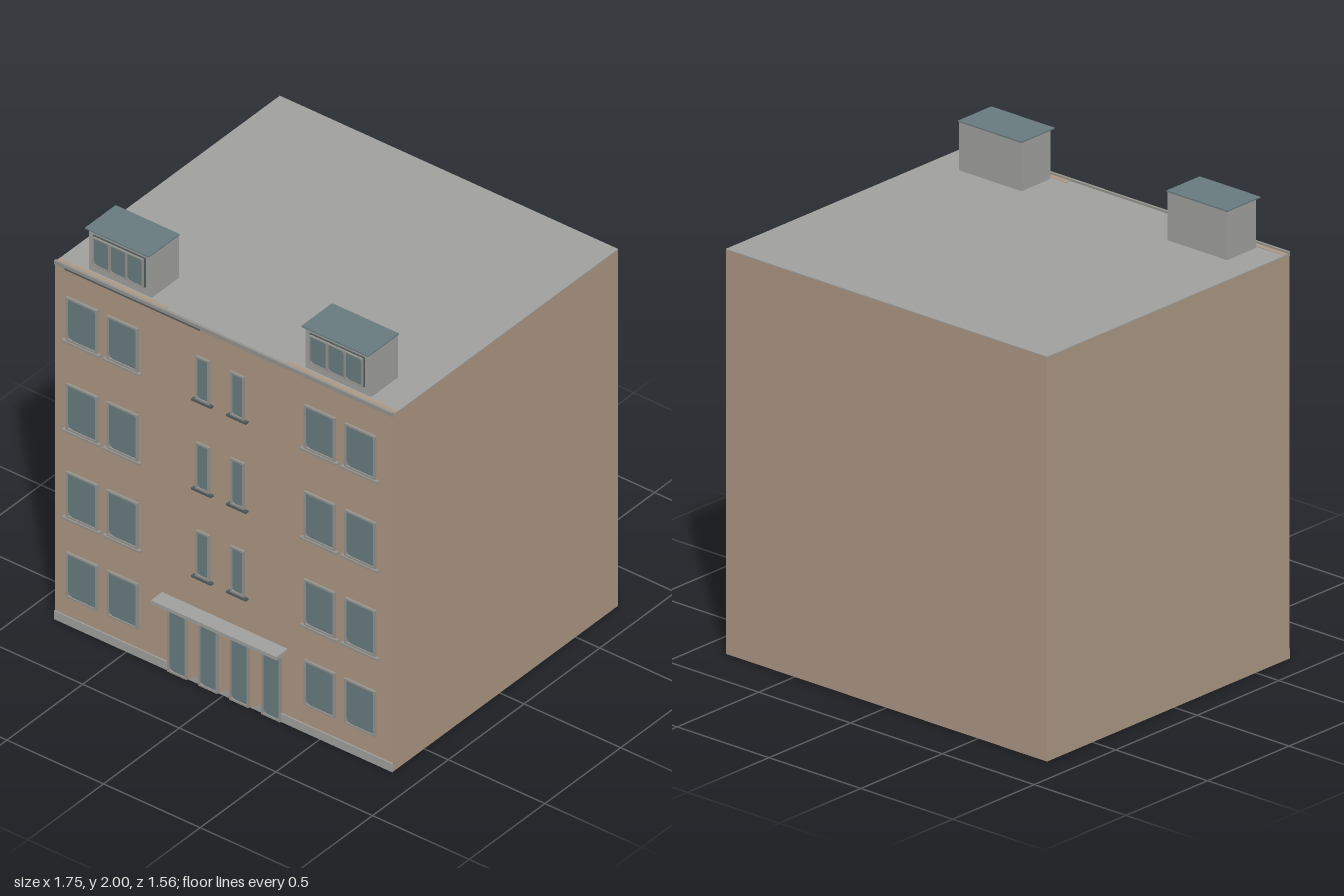
import * as THREE from 'three';

const mat = (name, color) => {
  const m = new THREE.MeshStandardMaterial({ color });
  m.name = name;
  return m;
};

export function createModel() {
  const wall = mat('tan wall', 0xac9783);
  const concrete = mat('grey concrete', 0xa0a09e);
  const frameGrey = mat('frame grey', 0x94938e);
  const glass = mat('blue grey glass', 0x687b7f);
  const dark = mat('dark trim', 0x525a5c);

  const model = new THREE.Group();
  model.name = 'apartmentBlock';
  const FRONT = 0.705;

  // Box given by its limits on each axis
  const box = (parent, name, material, x0, x1, y0, y1, z0, z1) => {
    const m = new THREE.Mesh(new THREE.BoxGeometry(x1 - x0, y1 - y0, z1 - z0), material);
    m.position.set((x0 + x1) / 2, (y0 + y1) / 2, (z0 + z1) / 2);
    m.name = name;
    parent.add(m);
    return m;
  };

  // Rectangle outline as a shape or hole
  const rect = (S, x0, x1, y0, y1) =>
    new S([[x0, y0], [x1, y0], [x1, y1], [x0, y1]].map(p => new THREE.Vector2(...p)));

  // Hollow frame, backing plate and a pane with two clipped corners
  const glazedUnit = (parent, name, x0, x1, y0, y1, z, depth, border) => {
    const g = new THREE.Group();
    g.name = name;
    const a = x0 + border, b = x1 - border, c = y0 + border, d = y1 - border;
    const outline = rect(THREE.Shape, x0, x1, y0, y1);
    outline.holes.push(rect(THREE.Path, a, b, c, d));
    const frame = new THREE.Mesh(
      new THREE.ExtrudeGeometry(outline, { depth, bevelEnabled: false }), frameGrey);
    frame.position.z = z;
    frame.name = 'frame';
    g.add(frame);
    box(g, 'backing', frameGrey, a, b, c, d, z, z + 0.003);
    const k = Math.min(0.022, (b - a) * 0.22);
    const pane = new THREE.Shape();
    pane.moveTo(a + k, c);
    pane.lineTo(b, c);
    pane.lineTo(b, d - k);
    pane.quadraticCurveTo(b - k * 0.2, d - k * 0.2, b - k, d);
    pane.lineTo(a, d);
    pane.lineTo(a, c + k);
    pane.quadraticCurveTo(a + k * 0.2, c + k * 0.2, a + k, c);
    const p = new THREE.Mesh(
      new THREE.ExtrudeGeometry(pane, { depth: 0.003, bevelEnabled: false, curveSegments: 4 }), glass);
    p.position.z = z + 0.003;
    p.name = 'pane';
    g.add(p);
    parent.add(g);
  };

  // Main block, roof and front edge
  box(model, 'building', wall, -0.875, 0.875, 0, 1.776, -0.78, FRONT);
  box(model, 'roof', concrete, -0.875, 0.875, 1.776, 1.781, -0.78, FRONT - 0.005);
  for (const [x0, x1] of [[-0.875, -0.31], [0.31, 0.875]])
    box(model, 'roofEdgeStrip', wall, x0, x1, 1.779, 1.783, 0.672, 0.697);
  box(model, 'parapet', frameGrey, -0.875, 0.875, 1.77, 1.79, 0.698, 0.71);
  box(model, 'parapetTrim', dark, -0.82, -0.12, 1.768, 1.775, 0.708, 0.712);

  // Plinth on either side of the entrance and between doors
  for (const [x0, x1] of [[-0.875, -0.285], [0.3, 0.875]])
    box(model, 'plinth', concrete, x0, x1, 0, 0.042, FRONT, 0.711);
  for (const [x0, x1] of [[-0.185, -0.125], [-0.025, 0.035], [0.135, 0.2]]) {
    const tri = new THREE.Shape([new THREE.Vector2(x0, 0), new THREE.Vector2(x1, 0), new THREE.Vector2(x1, 0.042)]);
    const m = new THREE.Mesh(new THREE.ExtrudeGeometry(tri, { depth: 0.004, bevelEnabled: false }), concrete);
    m.position.z = FRONT;
    m.name = 'plinthWedge';
    model.add(m);
  }

  // Wide windows on four floors, narrow stair windows on the upper three
  const floors = [[0.14, 0.365], [0.54, 0.768], [0.977, 1.207], [1.422, 1.638]];
  const wide = [-0.81, -0.6, 0.42, 0.63], narrow = [-0.14, 0.04];
  floors.forEach(([y0, y1], i) => {
    const units = wide.map(x => [x, x + 0.16]);
    if (i > 0) units.push(...narrow.map(x => [x, x + 0.07]));
    for (const [x0, x1] of units) {
      glazedUnit(model, 'window', x0, x1, y0, y1, FRONT, 0.011, 0.009);
      if (i > 0) box(model, 'sill', x1 - x0 < 0.1 ? dark : frameGrey,
        x0 - 0.016, x1 + 0.016, y0 - 0.01, y0, FRONT, 0.722);
    }
  });

  // Entrance doors and canopy
  for (const x of [-0.285, -0.125, 0.035, 0.2])
    glazedUnit(model, 'door', x, x + 0.1, 0, 0.345, FRONT, 0.012, 0.009);
  box(model, 'canopy', concrete, -0.32, 0.33, 0.358, 0.375, FRONT, 0.78);

  // Rooftop dormers with three-part windows
  for (const [x0, x1] of [[-0.735, -0.405], [0.385, 0.73]]) {
    const g = new THREE.Group();
    g.name = 'rooftopRoom';
    model.add(g);
    box(g, 'roomWalls', concrete, x0 + 0.002, x1 - 0.002, 1.781, 1.994, 0.484, 0.662);
    box(g, 'roomRoof', glass, x0, x1, 1.994, 2, 0.482, 0.685);
    const w0 = x0 + 0.033, w1 = x1 - 0.037, w = (w1 - w0) / 3;
    box(g, 'windowSurround', dark, w0 - 0.004, w1 + 0.004, 1.82, 1.966, 0.662, 0.668);
    for (let i = 0; i < 3; i++)
      glazedUnit(g, 'rooftopWindow', w0 + i * w + 0.001, w0 + (i + 1) * w - 0.001, 1.824, 1.962, 0.668, 0.009, 0.005);
  }
  return model;
}
